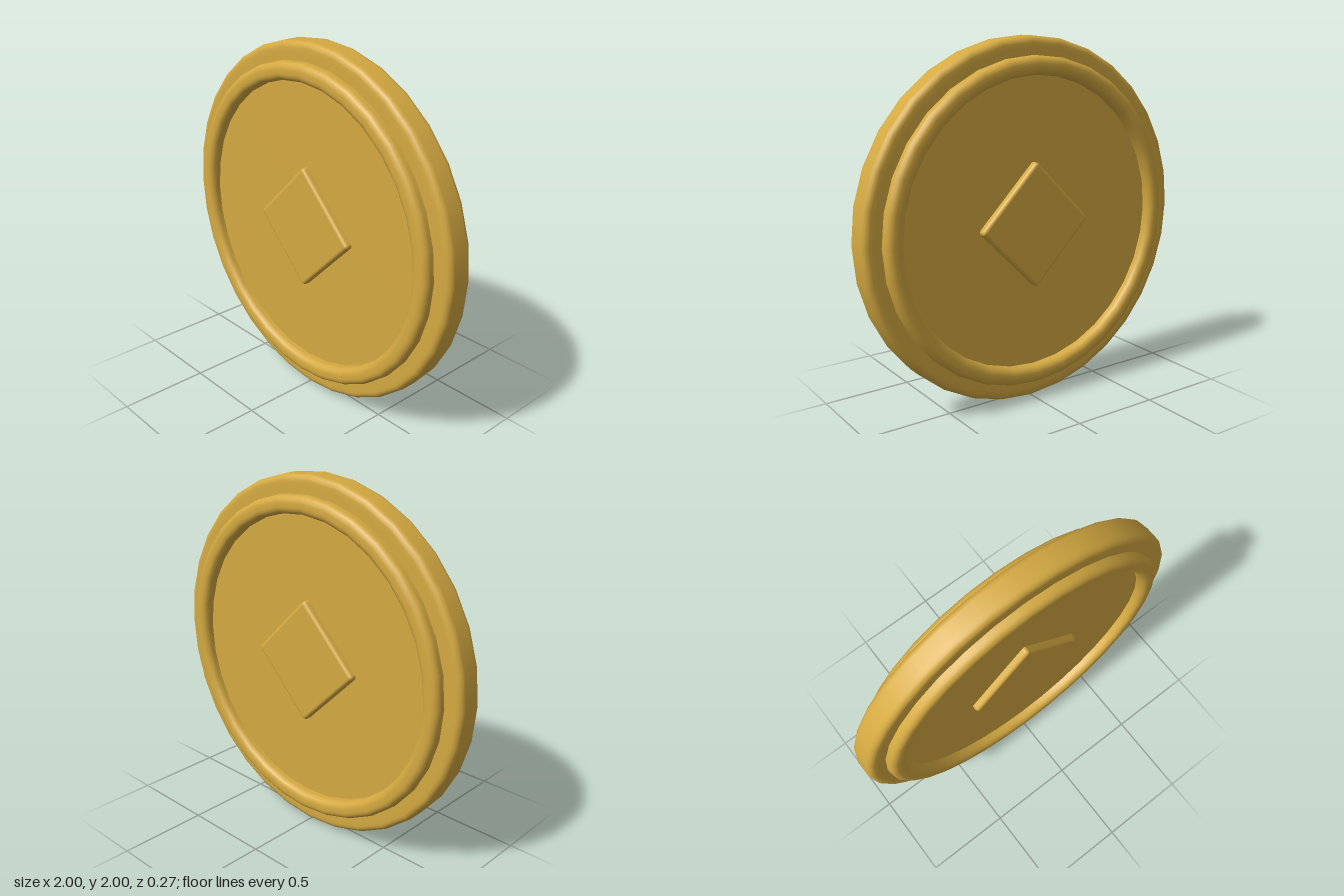
import * as THREE from 'three';
import { RoundedBoxGeometry } from 'three/addons/geometries/RoundedBoxGeometry.js';

const SIDES = 32;
const gold = new THREE.MeshStandardMaterial({ color: 0xd4a941 });

// Quarter-round corner of a profile, from angle a to a + 90 degrees
function corner(cx, cy, r, a, steps = 4) {
  return Array.from({ length: steps + 1 }, (_, i) => {
    const t = a + (i / steps) * Math.PI / 2;
    return new THREE.Vector2(cx + r * Math.cos(t), cy + r * Math.sin(t));
  });
}

// Turned part whose axis points along z
function turned(name, points) {
  const geometry = new THREE.LatheGeometry(points, SIDES).rotateX(Math.PI / 2);
  const mesh = new THREE.Mesh(geometry, gold);
  mesh.name = name;
  return mesh;
}

export function createModel() {
  const coin = new THREE.Group();
  coin.name = 'coin';

  // Disc with a softly rounded rim
  const half = 0.078, soft = 0.035;
  coin.add(turned('disc', [
    new THREE.Vector2(0, -half),
    new THREE.Vector2(0.94, -half),
    ...corner(1 - soft, -half + soft, soft, -Math.PI / 2),
    ...corner(1 - soft, half - soft, soft, 0),
    new THREE.Vector2(0.94, half),
    new THREE.Vector2(0, half),
  ]));

  // Raised ring, standing proud of both faces
  const top = 0.137, r = 0.038, inner = 0.8, outer = 0.9;
  coin.add(turned('raisedRing', [
    new THREE.Vector2(inner, 0),
    ...corner(inner + r, -top + r, r, Math.PI),
    ...corner(outer - r, -top + r, r, -Math.PI / 2),
    ...corner(outer - r, top - r, r, 0),
    ...corner(inner + r, top - r, r, Math.PI / 2),
    new THREE.Vector2(inner, 0),
  ]));

  // Diamond boss, showing on both faces
  const diamond = new THREE.Mesh(new RoundedBoxGeometry(0.495, 0.495, 0.236, 3, 0.02), gold);
  diamond.name = 'diamond';
  diamond.rotation.z = Math.PI / 4;
  coin.add(diamond);

  coin.position.y = 1;
  const model = new THREE.Group();
  model.add(coin);
  return model;
}
